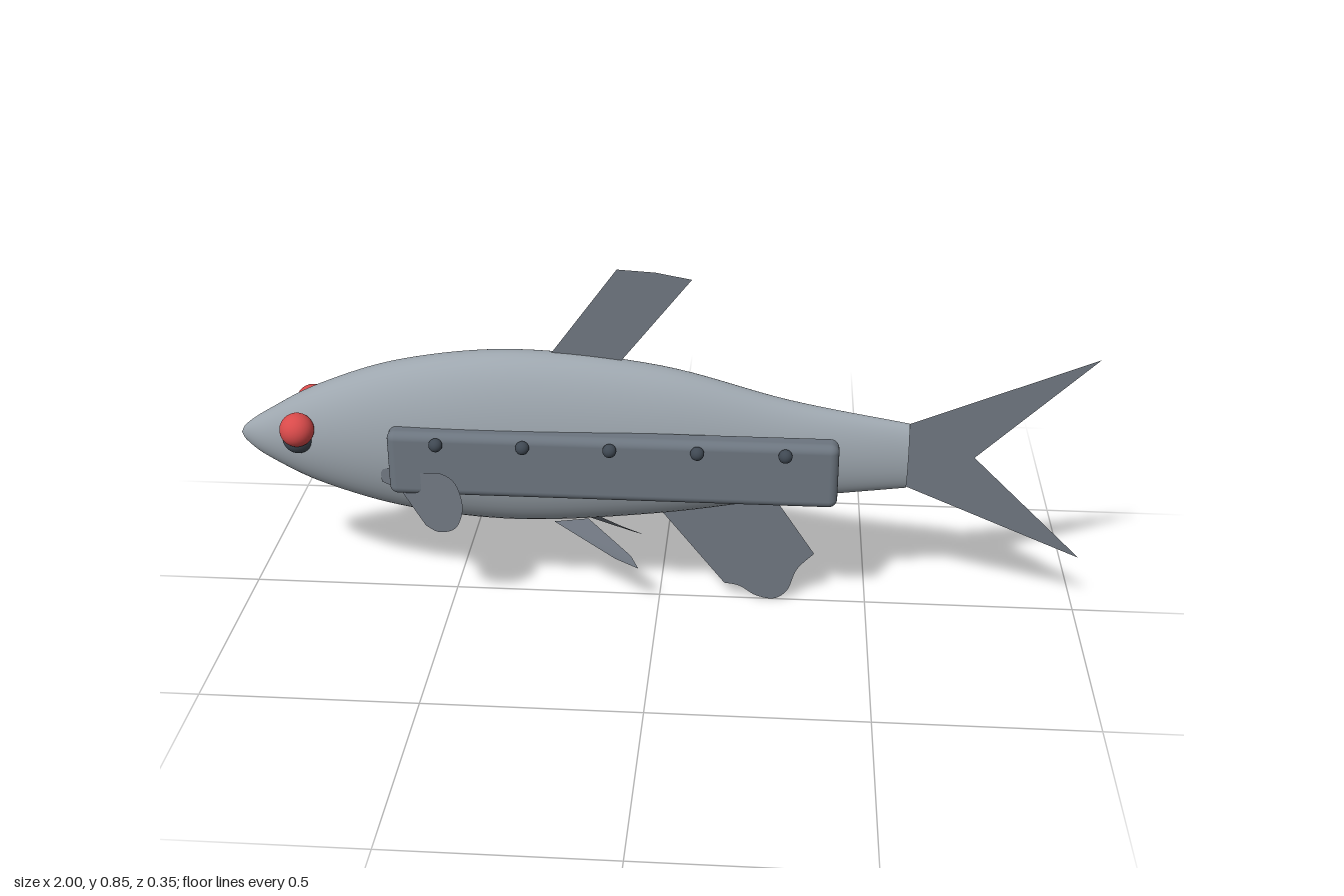
import * as THREE from 'three';
import { mergeVertices } from 'three/addons/utils/BufferGeometryUtils.js';
import { RoundedBoxGeometry } from 'three/addons/geometries/RoundedBoxGeometry.js';

const material = (name, color, side = THREE.FrontSide) => {
  const m = new THREE.MeshStandardMaterial({ color, side });
  m.name = name;
  return m;
};

// Body stations: x, top, bottom, half width
const STATIONS = [
  [-1, 0.41, 0.41, 0], [-0.985, 0.433, 0.387, 0.014], [-0.93, 0.471, 0.347, 0.04],
  [-0.8, 0.542, 0.284, 0.073], [-0.6, 0.61, 0.229, 0.096], [-0.33, 0.642, 0.205, 0.1],
  [0, 0.612, 0.234, 0.087], [0.3, 0.535, 0.284, 0.058], [0.58, 0.485, 0.32, 0.031],
];

// Cylinder laid along x, each ring reshaped to an ellipse
function bodyGeometry() {
  const spine = new THREE.CatmullRomCurve3(
    STATIONS.map(([x, t, b]) => new THREE.Vector3(x, (t + b) / 2, (t - b) / 2)), false, 'catmullrom');
  const widths = new THREE.CatmullRomCurve3(
    STATIONS.map(([x, , , w]) => new THREE.Vector3(x, w, 0)), false, 'catmullrom');
  const geo = new THREE.CylinderGeometry(1, 1, 1, 48, 64, true);
  const p = geo.attributes.position;
  for (let i = 0; i < p.count; i++) {
    const t = THREE.MathUtils.clamp(0.5 - p.getY(i), 0, 1);
    const s = spine.getPoint(t);
    p.setXYZ(i, s.x, s.y + s.z * p.getX(i), widths.getPoint(t).y * p.getZ(i));
  }
  geo.deleteAttribute('normal');
  geo.deleteAttribute('uv');
  const merged = mergeVertices(geo, 1e-5);
  merged.computeVertexNormals();
  return merged;
}

// Flat fin from straight points, then an optional smooth edge
function finGeometry(points, curved = []) {
  const shape = new THREE.Shape(points.map(([x, y]) => new THREE.Vector2(x, y)));
  if (curved.length) shape.splineThru(curved.map(([x, y]) => new THREE.Vector2(x, y)));
  return new THREE.ShapeGeometry(shape, 6);
}

export function createModel() {
  const model = new THREE.Group();
  model.name = 'fish';
  const skin = material('pale grey skin', 0x9da6ae);
  const fin = material('grey fin', 0x6f7680, THREE.DoubleSide);
  const casing = material('slate casing', 0x6c757f);
  const dark = material('dark slate', 0x3f4852);
  const red = material('red', 0xd84a4a);

  const add = (name, geo, mat, x = 0, y = 0, z = 0) => {
    const mesh = new THREE.Mesh(geo, mat);
    mesh.name = name;
    mesh.position.set(x, y, z);
    model.add(mesh);
    return mesh;
  };

  // Body and its flat rear end
  add('body', bodyGeometry(), skin);
  add('bodyEnd', new THREE.CircleGeometry(1, 48).scale(0.031, 0.0825, 1).rotateY(Math.PI / 2),
    skin, 0.58, 0.4025, 0);

  // Upright fins on the centre plane
  add('tailFin', finGeometry([[0.58, 0.485], [0.58, 0.322], [1, 0.145], [0.735, 0.403], [1, 0.66]]), fin);
  add('dorsalFin', finGeometry(
    [[-0.29, 0.585], [-0.12, 0.585], [0.073, 0.828], [-0.01, 0.843], [-0.097, 0.848]]), fin);
  add('analFin', finGeometry([[0.26, 0.3], [-0.04, 0.29], [0.158, 0.04]],
    [[0.195, 0.033], [0.235, 0.008], [0.28, 0.001], [0.312, 0.027], [0.333, 0.085], [0.373, 0.13]]), fin);

  // Paired parts on both flanks
  for (const side of [1, -1]) {
    const label = side > 0 ? 'left' : 'right';

    // Paddle-shaped fin sloping outward to the rear
    const paddle = finGeometry([[-0.6, 0.325], [-0.648, 0.335], [-0.65, 0.365], [-0.62, 0.38], [-0.54, 0.384]],
      [[-0.495, 0.395], [-0.458, 0.377], [-0.443, 0.32], [-0.462, 0.262], [-0.505, 0.238], [-0.54, 0.246]]);
    const pp = paddle.attributes.position;
    for (let i = 0; i < pp.count; i++) pp.setZ(i, side * (0.095 + (pp.getX(i) + 0.63) * 0.42));
    paddle.computeVertexNormals();
    add(label + 'PectoralFin', paddle, fin);

    // Slim leaf under the belly
    const leaf = new THREE.BufferGeometry().setFromPoints([
      [-0.25, 0.215, 0.036], [-0.17, 0.215, 0.016], [-0.065, 0.14, 0.058],
      [-0.045, 0.12, 0.083], [-0.1, 0.143, 0.08],
    ].map(([x, y, z]) => new THREE.Vector3(x, y, z * side)));
    leaf.setIndex([0, 1, 2, 0, 2, 3, 0, 3, 4]);
    leaf.computeVertexNormals();
    add(label + 'PelvicFin', leaf, fin);

    // Eye bulb over a dark socket
    add(label + 'Eye', new THREE.SphereGeometry(0.04, 32, 20), red, -0.842, 0.46, side * 0.08);
    add(label + 'EyeSocket', new THREE.SphereGeometry(0.037, 32, 20), dark, -0.847, 0.428, side * 0.056);
  }

  // Side case with a row of studs
  add('sideCase', new RoundedBoxGeometry(1.04, 0.16, 0.06, 5, 0.02), casing, -0.103, 0.402, 0.1);
  for (let i = 0; i < 5; i++) {
    add('stud', new THREE.SphereGeometry(0.016, 20, 14), dark, -0.505 + i * 0.2, 0.461, 0.139);
  }
  return model;
}
